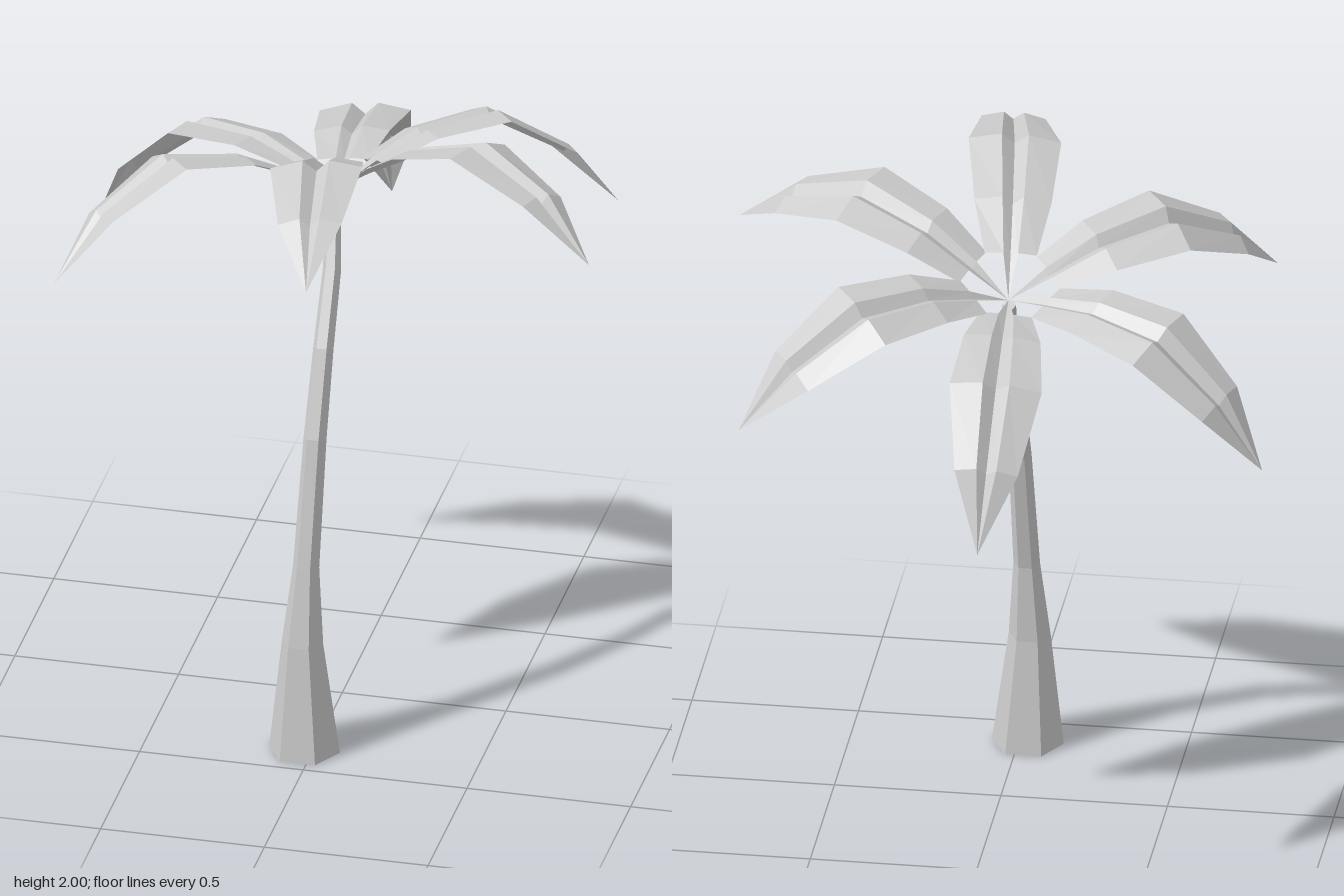
import * as THREE from 'three';

const material = new THREE.MeshStandardMaterial({ color: 0xcccccc, flatShading: true, side: THREE.DoubleSide });

// Trunk rings: centre x, y, z, radius, forward tilt of the ring
const RINGS = [
  [-0.027, 0, 0.37, 0.108, 0],
  [-0.033, 0.36, 0.37, 0.063, -0.05],
  [-0.027, 0.605, 0.35, 0.04, -0.13],
  [-0.017, 1.0, 0.278, 0.035, -0.27],
  [-0.013, 1.255, 0.188, 0.031, -0.45],
  [-0.015, 1.46, 0.07, 0.028, -0.52],
  [-0.03, 1.645, -0.03, 0.02, -0.5],
];

// Six-sided cylinder bent and tapered along the rings
function makeTrunk() {
  const rows = RINGS.length - 1;
  const geo = new THREE.CylinderGeometry(1, 1, 1, 6, rows).rotateY(Math.PI / 6);
  const pos = geo.attributes.position;
  const v = new THREE.Vector3();
  const xAxis = new THREE.Vector3(1, 0, 0);
  for (let i = 0; i < pos.count; i++) {
    v.fromBufferAttribute(pos, i);
    const [x, y, z, r, tilt] = RINGS[Math.round((v.y + 0.5) * rows)];
    v.set(v.x * r, 0, v.z * r).applyAxisAngle(xAxis, tilt);
    pos.setXYZ(i, v.x + x, v.y + y, v.z + z);
  }
  const trunk = new THREE.Mesh(geo, material);
  trunk.name = 'trunk';
  return trunk;
}

// Frond stations: distance out, height, half width of rib channel,
// channel depth, half width of blade, droop of blade edge
const STATIONS = [
  [0, 0, 0, 0, 0, 0],
  [0.115, 0.092, 0.022, 0.015, 0.078, 0.005],
  [0.265, 0.19, 0.032, 0.025, 0.115, 0.015],
  [0.49, 0.26, 0.04, 0.033, 0.138, 0.022],
  [0.74, 0.165, 0.03, 0.025, 0.095, 0.018],
  [0.935, 0, 0, 0, 0, 0],
];

// One frond along +x: V-shaped rib channel with a drooping blade on each side
function makeFrondGeometry() {
  const section = ([x, y, rib, depth, half, droop]) => [
    [x, y - droop, -half], [x, y, -rib], [x, y - depth, 0], [x, y, rib], [x, y - droop, half],
  ];
  const verts = [];
  for (let s = 0; s < STATIONS.length - 1; s++) {
    const a = section(STATIONS[s]);
    const b = section(STATIONS[s + 1]);
    for (let j = 0; j < 4; j++) {
      // the blades begin beyond the bare stalk
      if (s === 0 && (j === 0 || j === 3)) continue;
      if (s > 0) verts.push(...a[j], ...a[j + 1], ...b[j]);
      if (s < STATIONS.length - 2) verts.push(...a[j + 1], ...b[j + 1], ...b[j]);
    }
  }
  const geo = new THREE.BufferGeometry();
  geo.setAttribute('position', new THREE.Float32BufferAttribute(verts, 3));
  geo.computeVertexNormals();
  return geo;
}

// Crown leans backwards; each frond points from the centre to its tip
function makeCrown() {
  const crown = new THREE.Group();
  crown.name = 'crown';
  const centre = new THREE.Vector3(-0.03, 1.67, -0.05);
  const lean = new THREE.Vector3(-0.107, 0.945, -0.3).normalize();
  const tips = [
    [0.095, 1.81, 0.865], [0.83, 1.71, 0.32], [0.705, 1.445, -0.58],
    [-0.055, 1.23, -0.87], [-0.835, 1.31, -0.35], [-0.755, 1.56, 0.53],
  ];
  const geo = makeFrondGeometry();
  tips.forEach((tip, i) => {
    const out = new THREE.Vector3(...tip).sub(centre);
    const length = out.length();
    out.normalize();
    const side = new THREE.Vector3().crossVectors(out, lean).normalize();
    const up = new THREE.Vector3().crossVectors(side, out);
    const frond = new THREE.Mesh(geo, material);
    frond.name = `frond${i + 1}`;
    frond.quaternion.setFromRotationMatrix(new THREE.Matrix4().makeBasis(out, up, side));
    frond.scale.setScalar(length / 0.935);
    frond.position.copy(centre);
    crown.add(frond);
  });
  return crown;
}

export function createModel() {
  const palm = new THREE.Group();
  palm.name = 'palmTree';
  palm.add(makeTrunk(), makeCrown());
  return palm;
}
